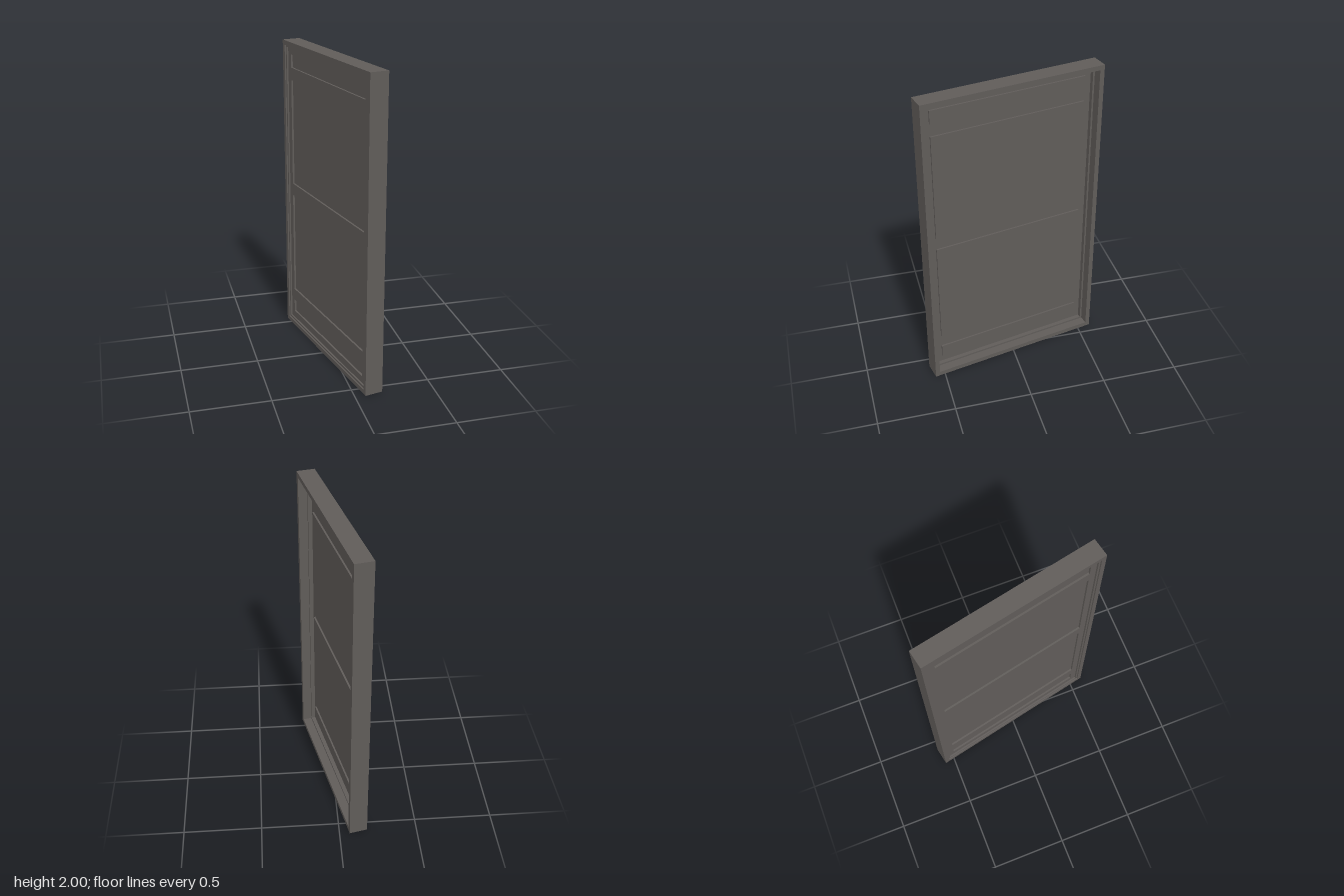
import * as THREE from 'three';

const H = 2;        // height
const HALF = 0.59;  // half of the width

// Rectangular hole path
function rectHole(w, y0, y1) {
  const p = new THREE.Path();
  p.moveTo(-w, y0);
  p.lineTo(-w, y1);
  p.lineTo(w, y1);
  p.lineTo(w, y0);
  p.closePath();
  return p;
}

// Upright plate with rectangular holes, spanning x0..x1 in thickness
function plate(name, inset, holes, x0, x1, material) {
  const w = HALF - inset;
  const s = new THREE.Shape();
  s.moveTo(-w, inset);
  s.lineTo(w, inset);
  s.lineTo(w, H - inset);
  s.lineTo(-w, H - inset);
  s.closePath();
  for (const [hw, y0, y1] of holes) s.holes.push(rectHole(hw, y0, y1));
  const geo = new THREE.ExtrudeGeometry(s, { depth: x1 - x0, bevelEnabled: false });
  geo.rotateY(Math.PI / 2);
  geo.translate(x0, 0, 0);
  const mesh = new THREE.Mesh(geo, material);
  mesh.name = name;
  return mesh;
}

export function createModel() {
  const metal = new THREE.MeshStandardMaterial({ color: 0x605c59 });
  metal.name = 'dark grey metal';

  const door = new THREE.Group();
  door.name = 'framedDoor';

  // Outer frame and the narrower stop inside it
  door.add(plate('outerFrame', 0, [[HALF - 0.03, 0.03, H - 0.03]], -0.0585, 0.0585, metal));
  door.add(plate('doorStop', 0.03, [[HALF - 0.042, 0.042, H - 0.042]], -0.05, 0, metal));

  // Door leaf with four pressed panels: raised on one side, sunken on the other
  const panelHalf = 0.506;
  const rows = [[0.09, 0.175], [0.26, 0.96], [1.042, 1.748], [1.83, 1.915]];
  door.add(plate('doorLeaf', 0.042, rows.map(([a, b]) => [panelHalf, a, b]), -0.039, -0.027, metal));
  rows.forEach(([a, b], i) => {
    const panel = new THREE.Mesh(new THREE.BoxGeometry(0.011, b - a, panelHalf * 2), metal);
    panel.position.set(-0.0215, (a + b) / 2, 0);
    panel.name = 'pressedPanel' + (i + 1);
    door.add(panel);
  });

  // The door stands slightly turned
  door.rotation.y = 0.21;

  const model = new THREE.Group();
  model.name = 'door';
  model.add(door);
  return model;
}
